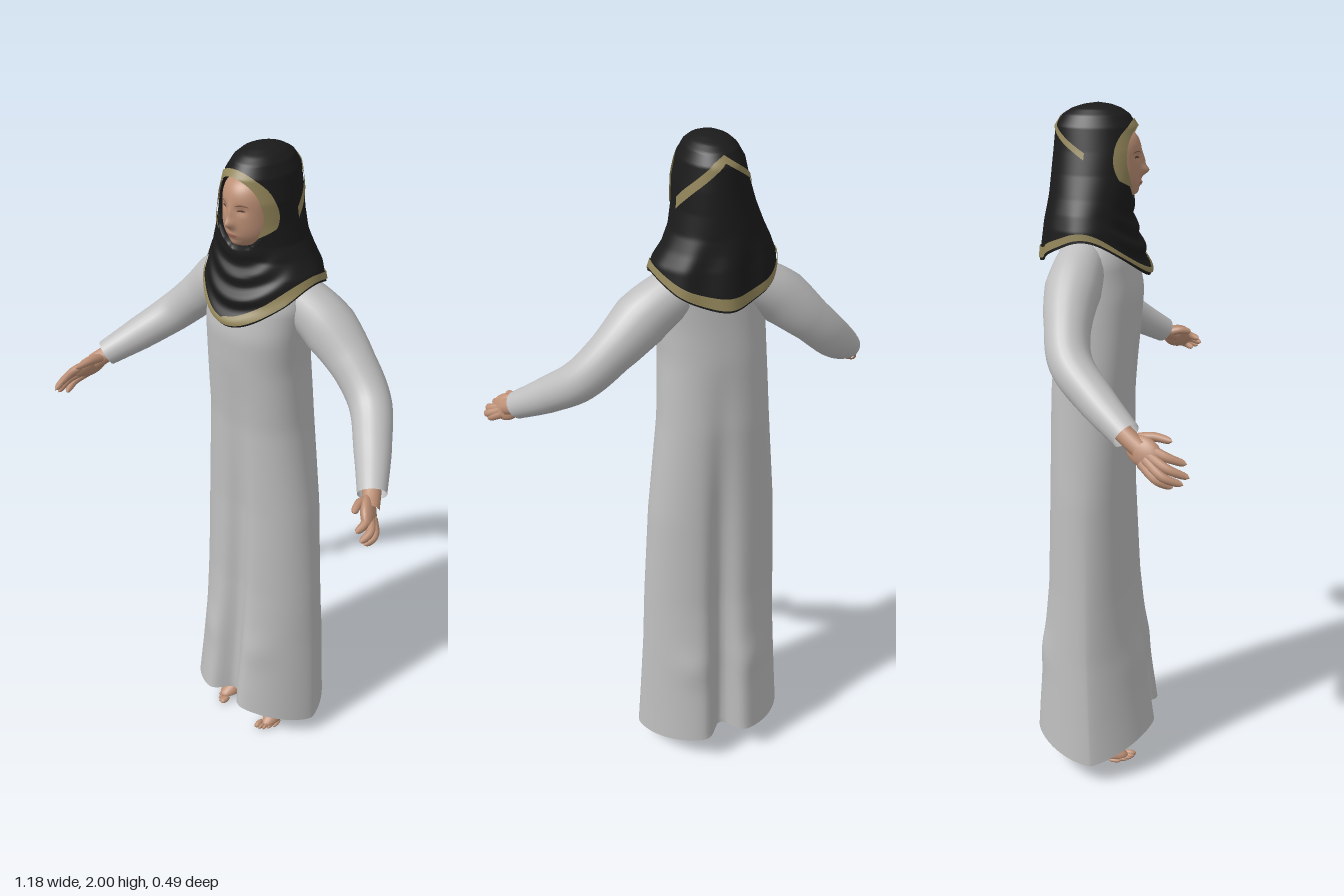
import * as THREE from 'three';

const mat = (name, color, side = THREE.FrontSide) => {
  const m = new THREE.MeshStandardMaterial({ color, side });
  m.name = name;
  return m;
};
const V = (x, y, z) => new THREE.Vector3(x, y, z);
const gauss = (d, w) => Math.exp(-(d / w) * (d / w));
const clamp = (v) => Math.min(1, Math.max(0, v));
const spow = (v, e) => Math.sign(v) * Math.pow(Math.abs(v), e);

// Linear lookup in rows of [y, values...] sorted by rising y
function sample(keys, y) {
  let i = 0;
  while (i < keys.length - 2 && y > keys[i + 1][0]) i++;
  const a = keys[i], b = keys[i + 1];
  const t = clamp((y - a[0]) / (b[0] - a[0]));
  return a.map((v, k) => v + (b[k] - v) * t);
}

// Skin a grid point(u, v); u runs around, v runs upward
function loft(point, nu, nv, closed) {
  const pos = [], idx = [], cols = closed ? nu : nu + 1;
  for (let j = 0; j <= nv; j++)
    for (let i = 0; i < cols; i++) pos.push(...point(i / nu, j / nv).toArray());
  for (let j = 0; j < nv; j++)
    for (let i = 0; i < nu; i++) {
      const a = j * cols + i, b = j * cols + ((i + 1) % cols);
      idx.push(a, b, a + cols, b, b + cols, a + cols);
    }
  const g = new THREE.BufferGeometry();
  g.setAttribute('position', new THREE.Float32BufferAttribute(pos, 3));
  g.setIndex(idx);
  g.computeVertexNormals();
  return g;
}

// Tube through points with changing radius, optionally with a rounded tip
function limb(points, radii, sides = 16, seg = 24, rounded = false) {
  const curve = new THREE.CatmullRomCurve3(points);
  const g = new THREE.TubeGeometry(curve, seg, 1, sides, false);
  const p = g.attributes.position, n = g.attributes.normal;
  for (let i = 0; i < p.count; i++) {
    const t = Math.floor(i / (sides + 1)) / seg;
    const k = Math.min(t * (radii.length - 1), radii.length - 1.0001), f = Math.floor(k);
    let r = radii[f] + (radii[f + 1] - radii[f]) * (k - f);
    if (rounded && t > 0.8) r *= Math.sqrt(Math.max(0, 1 - ((t - 0.8) / 0.2) ** 2));
    const c = curve.getPointAt(t);
    p.setXYZ(i, c.x + n.getX(i) * r, c.y + n.getY(i) * r, c.z + n.getZ(i) * r);
  }
  return g;
}

// Robe rows: y, min x, max x, front z, back z, centre fold depth
const ROBE = [
  [0.06, -0.242, 0.232, 0.113, -0.24, 0.07], [0.4, -0.217, 0.212, 0.07, -0.222, 0.045],
  [0.6, -0.21, 0.203, 0.052, -0.206, 0.033], [0.9, -0.198, 0.183, 0.042, -0.2, 0.022],
  [1.2, -0.174, 0.147, 0.045, -0.195, 0.008], [1.4, -0.165, 0.136, 0.06, -0.182, 0],
  [1.5, -0.162, 0.142, 0.066, -0.172, 0], [1.6, -0.16, 0.15, 0.045, -0.165, 0],
  [1.66, -0.13, 0.12, 0.02, -0.15, 0], [1.74, -0.05, 0.045, -0.01, -0.1, 0]];
function robePoint(u, v) {
  const a = u * Math.PI * 2, s = Math.sin(a), c = Math.cos(a);
  const hem = 0.068 + (c > 0 ? 0.075 * c * c : 0.035 * c * c);
  const y = hem + (1.74 - hem) * v;
  const [, x0, x1, zf, zb, fold] = sample(ROBE, y);
  const low = clamp((1.3 - y) / 1.1); // legs push the skirt into two lobes
  const x = (x0 + x1) / 2 + ((x1 - x0) / 2) * spow(s, 0.9);
  const e = 0.85 + low * (c > 0 ? 0.65 : 0.45);
  const z = (zf + zb) / 2 + ((zf - zb) / 2) * spow(c, e) * (1 + 0.13 * low);
  const knee = 0.008 * gauss(y - 0.38, 0.06) * gauss(Math.abs(x) - 0.1, 0.05);
  return V(x, y, z + Math.sign(c) * (knee - fold * gauss(x, 0.038)));
}

// Scarf rows: y, min x, max x, front z, back z
const SCARF = [
  [1.54, -0.172, 0.162, 0.086, -0.224], [1.62, -0.186, 0.172, 0.064, -0.215], [1.68, -0.178, 0.156, 0.042, -0.206],
  [1.72, -0.163, 0.128, 0.036, -0.199], [1.76, -0.145, 0.107, 0.042, -0.193], [1.82, -0.122, 0.094, 0.05, -0.187],
  [1.88, -0.105, 0.089, 0.055, -0.181], [1.94, -0.09, 0.077, 0.045, -0.175], [1.97, -0.073, 0.062, 0.025, -0.155],
  [1.985, -0.056, 0.046, 0.003, -0.13], [1.995, -0.034, 0.024, -0.025, -0.098], [2, -0.006, -0.004, -0.058, -0.062]];
const FX = -0.006, FY = 1.845;
function scarfPoint(a, y, off = 0) {
  const [, x0, x1, zf, zb] = sample(SCARF, y);
  const s = Math.sin(a), c = Math.cos(a), low = clamp((1.77 - y) / 0.08);
  const wave = low * (c > 0 ? 0.006 * c * Math.sin(110 * (y - 0.09 * s * s)) : 0.006 * Math.cos(8 * a));
  const x = (x0 + x1) / 2 + ((x1 - x0) / 2 + off) * s;
  let z = (zf + zb) / 2 + ((zf - zb) / 2 + off + wave) * c;
  if (c > 0 && off === 0) { // hollow behind the face
    const e = ((x - FX) / 0.074) ** 2 + ((y - FY) / 0.1) ** 2;
    z -= 0.07 * clamp((1 - e) * 3);
  }
  return V(x, y, z);
}
const scarfHem = (a) => {
  const s2 = Math.sin(a) ** 2;
  return Math.cos(a) > 0 ? 1.54 + 0.115 * s2 : 1.575 + 0.08 * s2;
};

// Depth of the face at an offset from its centre
function faceZ(dx, dy) {
  const m = Math.abs(dx), y = Math.abs(dy / 0.1);
  return -0.03 + 0.088 * Math.sqrt(Math.max(0, 1 - (dx / 0.074) ** 2 - y ** 3.5))
    + 0.019 * gauss(dx, 0.011) * gauss(dy + 0.021, 0.013) + 0.009 * gauss(dx, 0.008) * gauss(dy - 0.005, 0.02)
    - 0.006 * gauss(m - 0.028, 0.014) * gauss(dy - 0.016, 0.011)
    + 0.005 * gauss(dx, 0.02) * gauss(dy + 0.055, 0.009) + 0.014 * gauss(dx, 0.025) * gauss(dy + 0.085, 0.016);
}

export function createModel() {
  const root = new THREE.Group();
  root.name = 'robedWoman';
  const robe = mat('robe grey', 0xbebebe, THREE.DoubleSide);
  const black = mat('scarf black', 0x1b1b1b, THREE.DoubleSide);
  const gold = mat('gold trim', 0x93865a, THREE.DoubleSide);
  const skin = mat('skin', 0xbc8f75);
  const dark = mat('eye brown', 0x5a4032);
  const brow = mat('brow brown', 0x84604c);
  const lip = mat('lips', 0xa3695b);
  const add = (name, geo, m, parent = root) => {
    const mesh = new THREE.Mesh(geo, m);
    mesh.name = name;
    parent.add(mesh);
    return mesh;
  };

  add('robe', loft(robePoint, 128, 70, true), robe);

  // Head scarf with gold trim on the hem, face edge and crown
  add('headScarf', loft((u, v) => {
    const a = u * Math.PI * 2, h = scarfHem(a);
    return scarfPoint(a, h + (2 - h) * (1 - (1 - v) ** 1.25));
  }, 112, 96, true), black);
  // The hem trim is wide over the left breast and the back, narrow elsewhere
  add('scarfHemTrim', loft((u, v) => {
    const a = u * Math.PI * 2;
    const width = 0.016 + 0.02 * gauss(a - 0.7, 0.6) + 0.016 * gauss(a - Math.PI, 0.9);
    return scarfPoint(a, scarfHem(a) + 0.007 + width * v, 0.004);
  }, 112, 3, true), gold);
  // The face trim wraps back onto both sides of the head
  add('faceTrim', loft((u, v) => {
    const p = (-0.2 + 1.42 * u) * Math.PI;
    const x = FX + 0.072 * Math.cos(p), y = FY + 0.097 * Math.sin(p);
    const [, x0, x1] = sample(SCARF, y);
    const a = Math.asin((2 * x - x0 - x1) / (x1 - x0));
    const width = Math.min(1, 5 * Math.sin(u * Math.PI)) * v;
    return scarfPoint(a + 0.36 * width * Math.cos(p), y + 0.017 * width * Math.max(0, Math.sin(p)), 0.004);
  }, 64, 5, false), gold);
  // The crown trim is broader and falls further on the left
  add('crownTrim', loft((u, v) => {
    const k = 1 - 2 * u, left = clamp(k * 4);
    const drop = k > 0 ? 0.13 : 0.09;
    return scarfPoint(Math.PI - k * 1.4, 1.95 - drop * Math.abs(k) ** 1.1 + (0.018 + 0.012 * left) * v, 0.003);
  }, 48, 3, false), gold);

  // Head, sculpted on the front half
  const headGeo = new THREE.SphereGeometry(1, 64, 64);
  const hp = headGeo.attributes.position;
  for (let i = 0; i < hp.count; i++) {
    const z = hp.getZ(i), dy = hp.getY(i) * 0.1;
    const dx = hp.getX(i) * 0.074 * (1 - 0.15 * clamp(-dy / 0.1));
    hp.setXYZ(i, FX + dx, FY + dy, z > 0.01 ? faceZ(dx, dy) : -0.03 + z * 0.09);
  }
  headGeo.computeVertexNormals();
  add('head', headGeo, skin);

  // Painted face details, laid on the face
  const patch = (name, x, y, w, h, bend, m) => add(name, loft((u, v) => {
    const k = 2 * u - 1, dx = x + w * k;
    const dy = y - bend * k * k + h * (2 * v - 1) * Math.sqrt(1 - k * k * 0.98);
    return V(FX + dx, FY + dy, faceZ(dx, dy) + 0.0015);
  }, 12, 2, false), m);
  for (const s of [-1, 1]) {
    patch('eye', s * 0.028, 0.016, 0.01, 0.0025, 0.001, dark);
    patch('eyebrow', s * 0.03, 0.031, 0.016, 0.0018, 0.004, brow);
  }
  patch('lips', 0, -0.055, 0.018, 0.005, -0.001, lip);

  for (const s of [-1, 1]) {
    const side = s > 0 ? 'left' : 'right';
    const P = (x, y, z) => V(s * x, y, z);

    // Sleeve, sloping straight from the shoulder and tapering to the wrist
    add(side + 'Sleeve', limb([P(0.1, 1.595, -0.09), P(0.18, 1.55, -0.1), P(0.27, 1.47, -0.105),
      P(0.36, 1.382, -0.085), P(0.435, 1.31, -0.01), P(0.508, 1.243, 0.078)],
    [0.068, 0.076, 0.062, 0.057, 0.05, 0.039], 24, 40), robe);

    // Hand: the left one is held a little higher and further back
    const hand = new THREE.Group();
    hand.name = side + 'Hand';
    root.add(hand);
    const lift = s > 0 ? 0.35 : 0;
    const H = (x, y, z) => P(x, y + lift * Math.max(0, 1.235 - y), z - lift * Math.max(0, z - 0.11));
    add('wrist', limb([P(0.475, 1.275, 0.035), P(0.508, 1.24, 0.08), H(0.53, 1.217, 0.115)],
      [0.026, 0.025, 0.025], 12, 8), skin, hand);
    const palm = add('palm', new THREE.SphereGeometry(1, 20, 14), skin, hand);
    palm.scale.set(0.019, 0.038, 0.053);
    palm.position.copy(H(0.531, 1.21, 0.125));
    palm.lookAt(H(0.56, 1.182, 0.183));
    palm.rotateZ(s * 0.35);
    const fingers = [
      ['thumb', [0.508, 1.236, 0.1], [0.508, 1.243, 0.145], [0.518, 1.236, 0.195]],
      ['indexFinger', [0.53, 1.222, 0.135], [0.55, 1.205, 0.185], [0.547, 1.188, 0.234]],
      ['middleFinger', [0.54, 1.207, 0.135], [0.57, 1.182, 0.188], [0.566, 1.16, 0.243]],
      ['ringFinger', [0.545, 1.195, 0.13], [0.578, 1.163, 0.178], [0.572, 1.143, 0.228]],
      ['littleFinger', [0.543, 1.185, 0.12], [0.572, 1.152, 0.162], [0.565, 1.132, 0.202]]];
    for (const [name, a, b, c] of fingers)
      add(name, limb([H(...a), H(...b), H(...c)], [0.014, 0.012, 0.009], 10, 14, true), skin, hand);

    // Lower leg and bare foot
    const lx = s > 0 ? 0.095 : -0.08;
    add(side + 'Leg', limb([V(lx, 0.42, -0.08), V(lx, 0.25, -0.095), V(lx, 0.12, -0.1), V(lx, 0.03, -0.1)],
      [0.05, 0.045, 0.028, 0.026], 16, 16), skin);
    const foot = new THREE.Group();
    foot.name = side + 'Foot';
    foot.position.set(lx, 0, -0.1);
    foot.rotation.y = s * 0.08;
    root.add(foot);
    const sole = new THREE.SphereGeometry(1, 24, 20);
    const fp = sole.attributes.position;
    for (let i = 0; i < fp.count; i++) {
      const z = fp.getZ(i), y = fp.getY(i), h = 0.045 - 0.022 * z;
      fp.setXYZ(i, fp.getX(i) * (0.029 + 0.006 * z), 0.014 + (y > 0 ? y * h : y * 0.014), 0.048 + z * 0.087);
    }
    sole.computeVertexNormals();
    add('footBody', sole, skin, foot);
    for (let t = 0; t < 5; t++) {
      const toe = add('toe', new THREE.SphereGeometry(1, 10, 8), skin, foot);
      const r = t === 0 ? 0.01 : 0.0075 - t * 0.0004;
      toe.scale.set(r, r, 0.02);
      toe.position.set(s * (-0.02 + t * 0.0115), r, 0.138 - t * t * 0.0025);
    }
  }
  return root;
}
